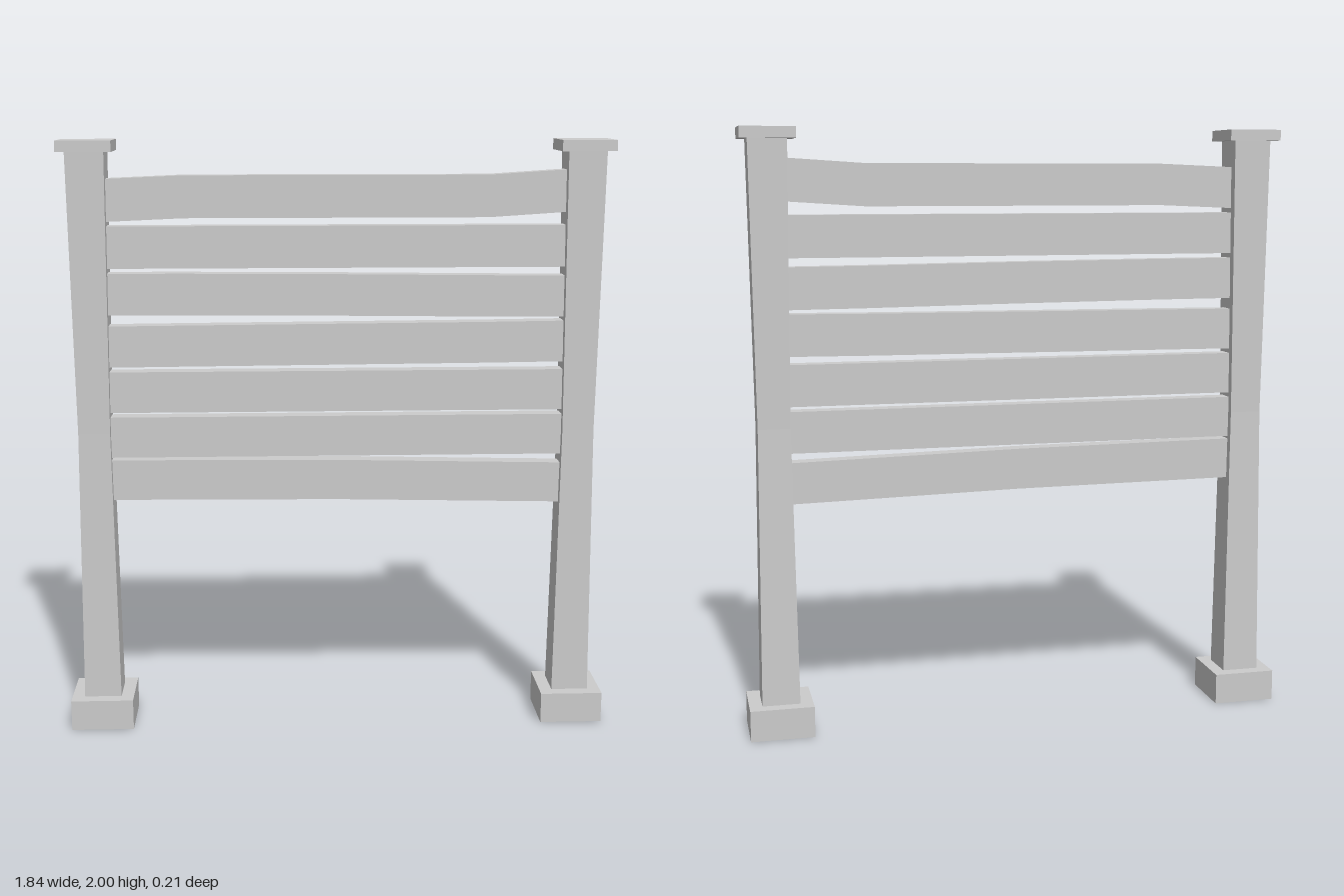
import * as THREE from 'three';

const material = new THREE.MeshStandardMaterial({ color: 0xcccccc, flatShading: true });

function addMesh(parent, name, geometry, y = 0) {
  const mesh = new THREE.Mesh(geometry, material);
  mesh.name = name;
  mesh.position.y = y;
  parent.add(mesh);
}

// Square post, slightly pinched towards the middle of its height
function postGeometry(height) {
  const geo = new THREE.BoxGeometry(1, height, 1, 1, 4, 1);
  const p = geo.attributes.position;
  for (let i = 0; i < p.count; i++) {
    const t = Math.abs(p.getY(i)) / (height / 2);
    const width = 0.106 + 0.02 * t;
    p.setX(i, p.getX(i) * width);
    p.setZ(i, p.getZ(i) * width);
  }
  geo.computeVertexNormals();
  return geo;
}

// Slat whose centre line passes through the given heights
const stations = [-0.78, -0.5, 0, 0.5, 0.78];
function slatGeometry(heights) {
  const geo = new THREE.BoxGeometry(4, 0.138, 0.056, 4, 1, 1);
  const p = geo.attributes.position;
  for (let i = 0; i < p.count; i++) {
    const k = Math.round(p.getX(i) + 2);
    p.setX(i, stations[k]);
    p.setY(i, p.getY(i) + heights[k]);
  }
  geo.computeVertexNormals();
  return geo;
}

export function createModel() {
  const group = new THREE.Group();
  group.name = 'slattedFence';

  // Posts with foot blocks and flat caps
  for (const [name, x] of [['leftPost', 0.814], ['rightPost', -0.814]]) {
    const post = new THREE.Group();
    post.name = name;
    post.position.x = x;
    addMesh(post, 'foot', new THREE.BoxGeometry(0.212, 0.105, 0.212), 0.0525);
    addMesh(post, 'shaft', postGeometry(1.88), 1.035);
    addMesh(post, 'cap', new THREE.BoxGeometry(0.178, 0.036, 0.178), 1.982);
    group.add(post);
  }

  // Uneven slats, top to bottom
  const slats = [
    [1.806, 1.818, 1.818, 1.818, 1.836],
    [1.654, 1.654, 1.654, 1.654, 1.654],
    [1.5, 1.499, 1.495, 1.489, 1.487],
    [1.325, 1.327, 1.33, 1.333, 1.336],
    [1.171, 1.171, 1.171, 1.171, 1.171],
    [1.017, 1.017, 1.017, 1.017, 1.017],
    [0.87, 0.868, 0.864, 0.853, 0.847],
  ];
  slats.forEach((heights, i) => addMesh(group, `slat${i + 1}`, slatGeometry(heights)));

  return group;
}
